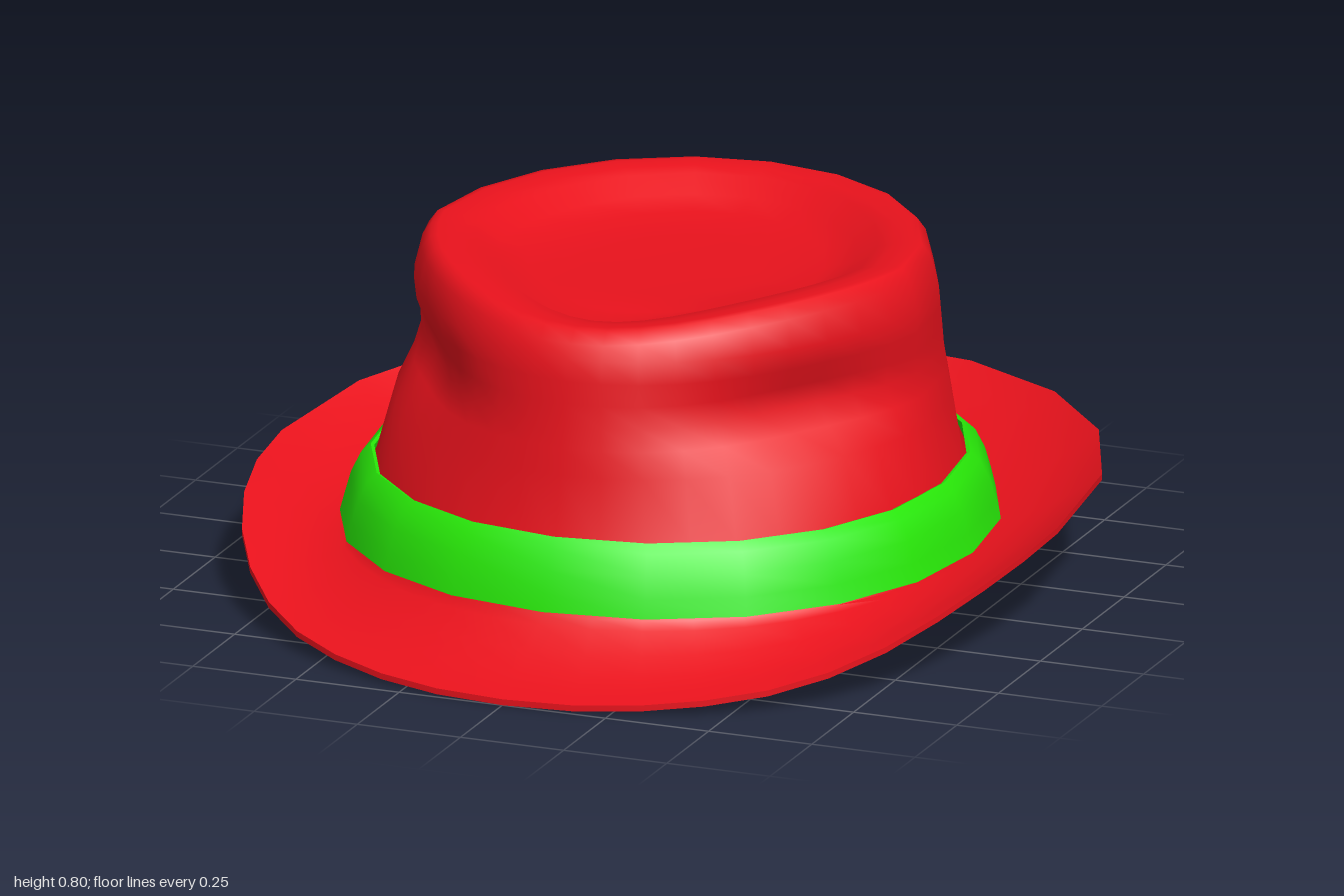
import * as THREE from 'three';
import { mergeVertices, toCreasedNormals } from 'three/addons/utils/BufferGeometryUtils.js';

const DEG = Math.PI / 180;
const signedPow = (v, p) => Math.sign(v) * Math.pow(Math.abs(v), p);

// Angles are measured from the front towards +x: coarse at the back, finer at the front
const feltAngles = [];
for (let d = 0; d < 360; d += d < 90 || d >= 270 ? 9 : 18) feltAngles.push(d * DEG);
const bandAngles = Array.from({ length: 20 }, (_, i) => i * 18 * DEG);

// One oval: half width, front and back radius, front and back fullness, narrowing of the front
function oval(t, { a, f, b, pf = 1, pb = pf, egg = 0 }) {
  const c = Math.cos(t);
  const p = c > 0 ? pf : pb;
  const z = (c > 0 ? f : b) * signedPow(c, p);
  const x = a * signedPow(Math.sin(t), p) * (1 - egg * Math.max(c, 0));
  return [x, z];
}

// Skin a stack of rings; each ring is a function of the angle giving [x, y, z]
function loft(rings, angles) {
  const n = angles.length;
  const positions = rings.flatMap((ring) => angles.flatMap((t) => ring(t)));
  const index = [];
  for (let i = 0; i < rings.length - 1; i++) {
    for (let j = 0; j < n; j++) {
      const m = (j + 1) % n;
      const A = i * n + j, B = A + n, C = (i + 1) * n + m, D = i * n + m;
      index.push(A, B, C, A, C, D);
    }
  }
  const geometry = new THREE.BufferGeometry();
  geometry.setAttribute('position', new THREE.Float32BufferAttribute(positions, 3));
  geometry.setIndex(index);
  return toCreasedNormals(mergeVertices(geometry, 1e-4), 50 * DEG);
}

// Crown profile from the middle of the top down to the brim: [y, half width, front, back]
const crownProfile = [
  [0.725, 0, 0, 0], [0.725, 0.2, 0.18, 0.25], [0.73, 0.34, 0.33, 0.42],
  [0.75, 0.41, 0.4, 0.485], [0.785, 0.46, 0.46, 0.53], [0.794, 0.5, 0.505, 0.56],
  [0.8, 0.545, 0.55, 0.588], [0.798, 0.562, 0.57, 0.606], [0.77, 0.583, 0.592, 0.624],
  [0.7, 0.602, 0.612, 0.64], [0.65, 0.606, 0.622, 0.65], [0.6, 0.611, 0.63, 0.657],
  [0.55, 0.615, 0.638, 0.665], [0.5, 0.622, 0.647, 0.675], [0.44, 0.632, 0.658, 0.686],
  [0.3, 0.655, 0.682, 0.71], [0.14, 0.724, 0.752, 0.778],
];

// A finger pinch pressed into each front side of the crown
function pinch(t, y) {
  const side = Math.acos(Math.cos(t));
  return 0.08 * Math.exp(-(((side - 58 * DEG) / 0.46) ** 2) - ((y - 0.555) / 0.085) ** 2);
}

function crownRing([y, a, f, b], inset) {
  return (t) => {
    const r = (v) => Math.max(v - inset, 0);
    // the hollow in the top is a teardrop, the wall turns egg-shaped towards the rim
    const egg = a < 0.48 ? 0.22 : 0.16 * THREE.MathUtils.smoothstep(y, 0.3, 0.78);
    let [x, z] = oval(t, { a: r(a), f: r(f), b: r(b), egg });
    if (a > 0.55) {
      const s = 1 - pinch(t, y) / 0.62;
      x *= s;
      z *= s;
    }
    // the rim sinks a little at the front
    const sink = a > 0.4 && y > 0.74 ? 0.04 * Math.max(Math.cos(t), 0) ** 4 : 0;
    return [x, y - sink - (y > 0.7 ? inset : 0), z];
  };
}

// Height of the brim's outer edge along z: snapped down in front, turned up behind
const edgeHeights = [[-1, 0.265], [0, 0.232], [0.2, 0.215], [0.4, 0.18], [0.6, 0.115], [0.78, 0.058], [1, 0.014]];
function edgeY(z) {
  const i = Math.max(1, edgeHeights.findIndex(([k]) => k >= z - 1e-6));
  const [z0, y0] = edgeHeights[i - 1], [z1, y1] = edgeHeights[i];
  return y0 + ((y1 - y0) * (z - z0)) / (z1 - z0);
}

// Brim ring at fraction k from the crown to the outer edge
function brimRing(k, drop) {
  const edge = { a: 0.94, f: 1, b: 1, pf: 0.94, pb: 0.86 };
  const root = { a: 0.72, f: 0.748, b: 0.774 };
  return (t) => {
    const [x0, z0] = oval(t, root), [x1, z1] = oval(t, edge);
    const y = 0.14 + (edgeY(z1) - 0.14) * k - 0.07 * k * (1 - k);
    return [x0 + (x1 - x0) * k, Math.max(y - drop, 0), z0 + (z1 - z0) * k];
  };
}

export function createModel() {
  const group = new THREE.Group();
  const red = new THREE.MeshStandardMaterial({ color: 0xe8121c, side: THREE.DoubleSide });
  const green = new THREE.MeshStandardMaterial({ color: 0x28e808, side: THREE.DoubleSide });
  const add = (name, geometry, material) => {
    const mesh = new THREE.Mesh(geometry, material);
    mesh.name = name;
    group.add(mesh);
  };

  // Crown and brim are one shell of felt: outside, round the brim edge, and back up the inside
  const steps = [0.1, 0.35, 0.6, 0.8, 1];
  const lining = [...crownProfile.slice(0, -1), [0.128, 0.732, 0.76, 0.786]];
  const felt = [
    ...crownProfile.map((row) => crownRing(row, 0)),
    ...steps.map((k) => brimRing(k, 0)),
    ...steps.toReversed().map((k) => brimRing(k, 0.014)),
    ...lining.toReversed().map((row) => crownRing(row, 0.016)),
  ];
  add('hatShell', loft(felt, feltAngles), red);

  // Bulging ribbon around the foot of the crown, open behind where it rests on the felt
  const band = [
    [0.302, 0.658, 0.685, 0.713], [0.305, 0.666, 0.692, 0.721], [0.285, 0.688, 0.71, 0.744],
    [0.24, 0.71, 0.735, 0.768], [0.19, 0.724, 0.751, 0.783], [0.148, 0.735, 0.762, 0.79],
  ].map(([y, a, f, b]) => (t) => {
    const [x, z] = oval(t, { a, f, b, pf: 0.97 });
    return [x, y, z];
  });
  add('hatBand', loft(band, bandAngles), green);

  return group;
}
